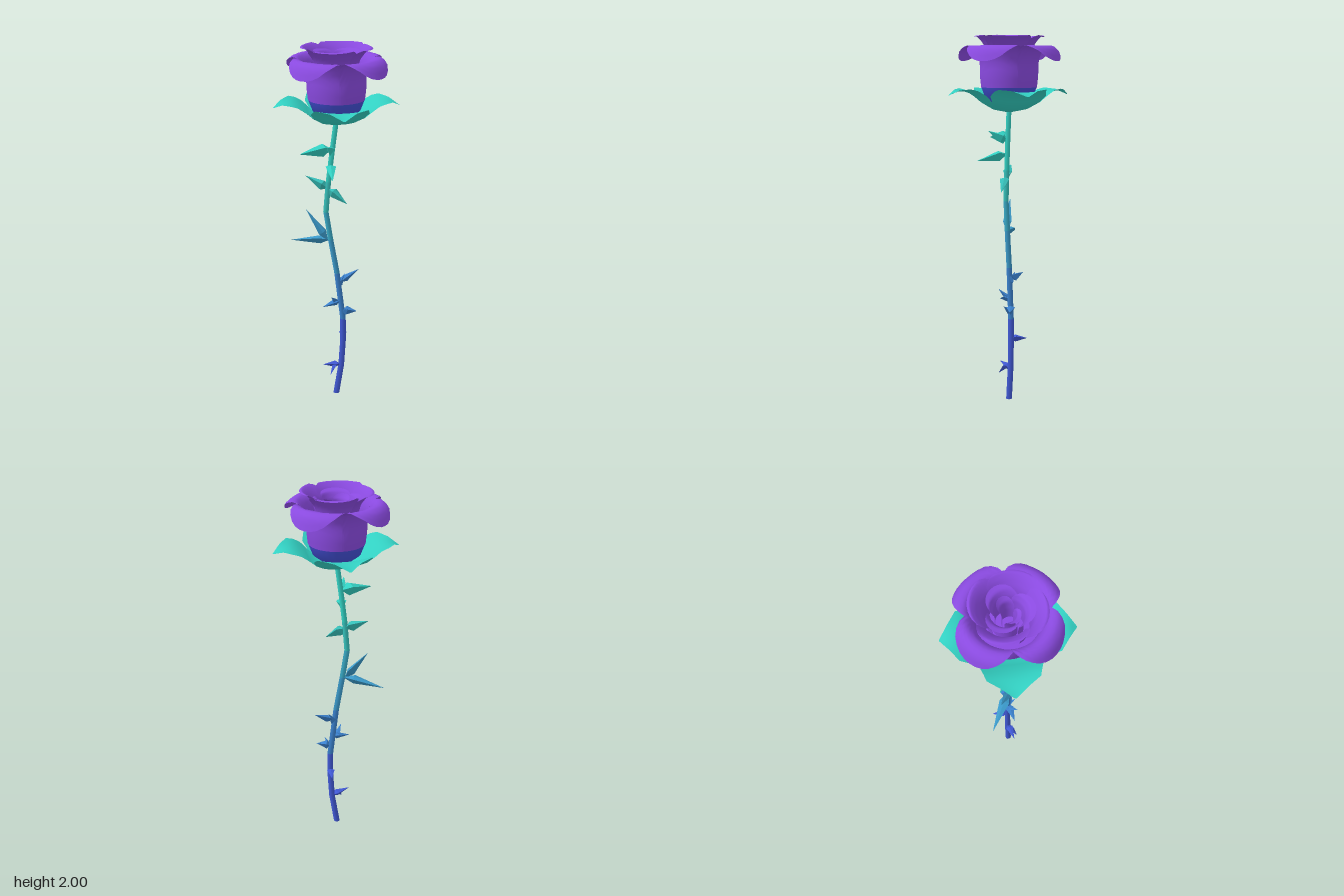
import * as THREE from 'three';

const mat = (name, color) => {
  const m = new THREE.MeshStandardMaterial({ color, side: THREE.DoubleSide });
  m.name = name;
  return m;
};

// Smooth open sheet from a point function of (across -1..1, along 0..1)
function sheet(fn, across, along) {
  const pos = [], idx = [];
  for (let j = 0; j <= along; j++)
    for (let i = 0; i <= across; i++) pos.push(...fn((i / across) * 2 - 1, j / along));
  for (let j = 0; j < along; j++)
    for (let i = 0; i < across; i++) {
      const a = j * (across + 1) + i, b = a + across + 1;
      idx.push(a, b, a + 1, a + 1, b, b + 1);
    }
  const g = new THREE.BufferGeometry();
  g.setAttribute('position', new THREE.Float32BufferAttribute(pos, 3));
  g.setIndex(idx);
  g.computeVertexNormals();
  return g;
}

// Linear sample of a list of equally weighted rows
function sample(rows, t) {
  const f = Math.min(Math.max(t, 0), 1) * (rows.length - 1);
  const i = Math.min(Math.floor(f), rows.length - 2), k = f - i;
  return rows[i].map((v, n) => v + (rows[i + 1][n] - v) * k);
}

// Petal wrapped round the axis: profile of [radius, y], shortened toward its sides
function petal(angle, spread, profile, trim, twist) {
  return sheet((a, t) => {
    const [r, y] = sample(profile, t * (1 - trim * Math.abs(a) ** 2.2));
    const th = angle + a * spread, rr = r * (1 + twist * a);
    return [Math.cos(th) * rr, y, Math.sin(th) * rr];
  }, 14, 14);
}

// Leafy thorn: broad near the stem, with a keel beneath, from base to tip
function thorn(base, tip, width, depth) {
  const A = new THREE.Vector3(...base), T = new THREE.Vector3(...tip);
  const dir = T.clone().sub(A).normalize();
  const side = new THREE.Vector3(-dir.z, 0, dir.x).normalize();
  const up = side.clone().cross(dir).normalize();
  const M = A.clone().lerp(T, 0.27);
  const at = (s, u) => M.clone().addScaledVector(side, s * width).addScaledVector(up, u * depth);
  const L = at(1, 0.35), R = at(-1, 0.35), U = at(0, 0.5), D = at(0, -0.5);
  const tris = [A, L, U, A, U, R, T, U, L, T, R, U, A, D, L, A, R, D, T, L, D, T, D, R];
  const g = new THREE.BufferGeometry().setFromPoints(tris);
  g.computeVertexNormals();
  return g;
}

export function createModel() {
  const root = new THREE.Group();
  root.name = 'rose';
  const purple = mat('petalPurple', 0x8a4ae0);
  const baseBlue = mat('petalBaseBlue', 0x4450d8);
  const teal = mat('sepalTeal', 0x32d0c2);
  const stemMats = [
    [0.47, mat('stemBlue', 0x4058d4)],
    [0.76, mat('stemMidBlue', 0x3a80cc)],
    [1.0, mat('stemSkyBlue', 0x3a98c8)],
    [1.11, mat('stemAqua', 0x38a8c4)],
    [1.3, mat('stemBlueGreen', 0x36c0ba)],
    [9, teal],
  ];
  const matAt = (y) => stemMats.find(([top]) => y < top)[1];
  const add = (name, geo, material, parent) => {
    const m = new THREE.Mesh(geo, material);
    m.name = name;
    parent.add(m);
  };
  const group = (name) => {
    const g = new THREE.Group();
    g.name = name;
    root.add(g);
    return g;
  };

  // Crooked stem: sheared cylinders that meet exactly at each bend
  const stem = group('stem');
  const path = [[0, 0], [0.028, 0.18], [0.038, 0.34], [0.037, 0.47], [0.003, 0.75],
    [-0.032, 0.95], [-0.057, 1.11], [-0.043, 1.28], [-0.025, 1.43], [0, 1.62]];
  for (let i = 0; i < path.length - 1; i++) {
    const [x0, y0] = path[i], [x1, y1] = path[i + 1], h = y1 - y0;
    const rad = (y) => 0.017 - 0.002 * y;
    const g = new THREE.CylinderGeometry(rad(y1), rad(y0), h, 10, 1, i > 0);
    const p = g.attributes.position;
    for (let v = 0; v < p.count; v++) p.setX(v, p.getX(v) + (p.getY(v) > 0 ? x1 : x0));
    g.translate(0, (y0 + y1) / 2, 0);
    add('stemSection', g, matAt((y0 + y1) / 2), stem);
  }

  // Thorns: base, tip, half width, keel depth
  const thorns = group('thorns');
  [
    [[0.025, 0.18, 0], [-0.08, 0.2, 0.03], 0.022, 0.035],
    [[0, 0.2, 0.01], [-0.04, 0.14, 0.05], 0.014, 0.025],
    [[0.038, 0.36, 0], [0.045, 0.355, -0.09], 0.022, 0.04],
    [[0.035, 0.52, 0], [0.11, 0.525, 0.03], 0.024, 0.05],
    [[0.04, 0.5, 0], [0.06, 0.55, 0.05], 0.014, 0.03],
    [[0.025, 0.58, 0], [-0.08, 0.56, 0.03], 0.024, 0.035],
    [[0, 0.57, 0], [-0.035, 0.625, 0.05], 0.016, 0.03],
    [[0.008, 0.66, 0], [0.05, 0.735, -0.02], 0.016, 0.04],
    [[0.025, 0.69, -0.01], [0.13, 0.75, -0.04], 0.02, 0.04],
    [[-0.032, 0.95, 0], [-0.24, 0.915, -0.11], 0.028, 0.045],
    [[-0.045, 0.94, 0], [-0.16, 1.11, -0.055], 0.024, 0.045],
    [[-0.047, 1.24, 0], [0.05, 1.17, 0.06], 0.026, 0.055],
    [[-0.045, 1.24, 0], [-0.16, 1.3, -0.06], 0.026, 0.055],
    [[-0.034, 1.37, 0], [-0.04, 1.335, 0.17], 0.028, 0.055],
    [[-0.025, 1.46, 0], [-0.2, 1.45, 0.05], 0.036, 0.07],
    [[-0.025, 1.44, 0], [-0.06, 1.495, 0.1], 0.024, 0.05],
  ].forEach(([a, t, w, d]) => add('thorn', thorn(a, t, w, d), matAt(a[1]), thorns));

  // Four sepals: rows of reach, half width and height
  const sepals = group('sepals');
  const rows = [[0, 0.003, 1.595], [0.08, 0.08, 1.61], [0.13, 0.13, 1.64], [0.165, 0.15, 1.67],
    [0.205, 0.138, 1.695], [0.242, 0.128, 1.708], [0.285, 0.066, 1.708], [0.33, 0.004, 1.688]];
  for (let k = 0; k < 4; k++) {
    const g = sheet((a, t) => {
      const [r, w, y] = sample(rows, t);
      return [r, y + 0.018 * a * a * Math.sin(Math.PI * t), a * w];
    }, 8, 14);
    g.rotateY((k * Math.PI) / 2);
    add('sepal', g, teal, sepals);
  }

  // Blue underside of the bloom
  const flower = group('flower');
  const cup = [[0, 1.625], [0.08, 1.635], [0.125, 1.67], [0.148, 1.73]];
  add('flowerBase', new THREE.LatheGeometry(cup.map(([x, y]) => new THREE.Vector2(x, y)), 28), baseBlue, flower);

  // Outer petals curl out and down on the diagonals
  const outer = [[0.148, 1.728], [0.155, 1.79], [0.155, 1.86], [0.172, 1.915], [0.2, 1.945],
    [0.232, 1.945], [0.262, 1.92], [0.283, 1.865]];
  for (let k = 0; k < 4; k++)
    add('outerPetal', petal(Math.PI / 4 + (k * Math.PI) / 2, 0.8, outer, 0.45, 0), purple, flower);

  // Middle petals flare open, each tucked under the next
  const middle = [[0.1, 1.79], [0.108, 1.88], [0.122, 1.935], [0.15, 1.975], [0.175, 1.998], [0.188, 1.992]];
  for (let k = 0; k < 4; k++)
    add('middlePetal', petal(0.25 + (k * Math.PI) / 2, 0.92, middle, 0.38, 0.08), purple, flower);

  // Inner petals
  const inner = [[0.07, 1.79], [0.07, 1.87], [0.076, 1.93], [0.095, 1.965], [0.125, 1.975]];
  for (let k = 0; k < 3; k++)
    add('innerPetal', petal(1.5 + (k * Math.PI * 2) / 3, 1.15, inner, 0.4, 0.14), purple, flower);

  // Swirled heart
  const heart = [[0.038, 1.79], [0.038, 1.88], [0.045, 1.94], [0.07, 1.965]];
  for (let k = 0; k < 2; k++)
    add('heartPetal', petal(-0.6 + k * 2.9, 1.3, heart, 0.5, 0.25), purple, flower);

  // Floor closing the bloom deep between the petals
  const floor = new THREE.CircleGeometry(0.15, 24);
  floor.rotateX(-Math.PI / 2).translate(0, 1.79, 0);
  add('flowerFloor', floor, purple, flower);

  return root;
}
